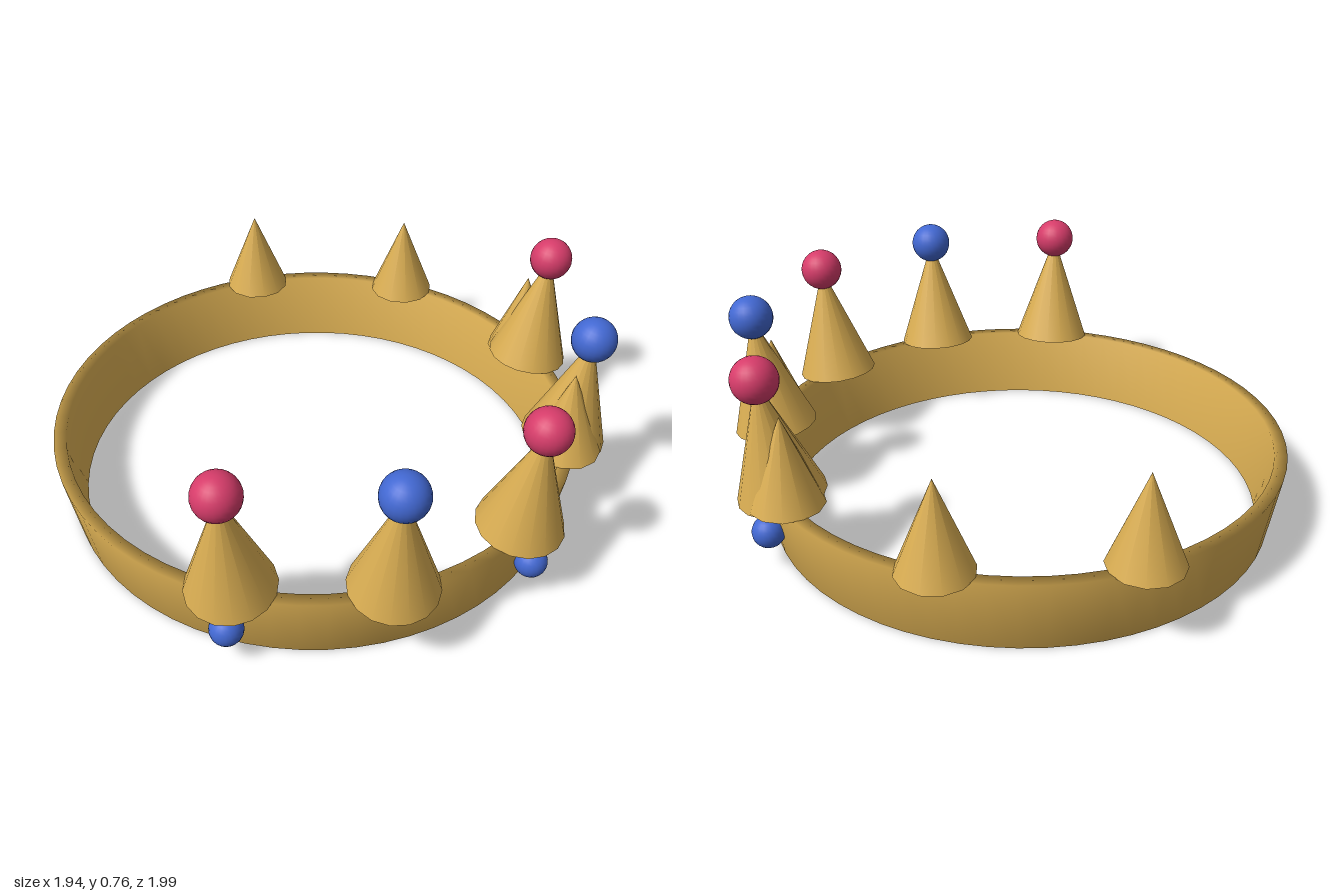
import * as THREE from 'three';

const gold = new THREE.MeshStandardMaterial({ color: 0xd9ad52 });
gold.name = 'gold';
const red = new THREE.MeshStandardMaterial({ color: 0xd63c6a });
red.name = 'ruby red';
const blue = new THREE.MeshStandardMaterial({ color: 0x4268d2 });
blue.name = 'sapphire blue';

const BAND_HEIGHT = 0.26;
const RIM_RADIUS = 0.9;

function add(parent, name, geometry, material, y = 0, z = 0) {
  const mesh = new THREE.Mesh(geometry, material);
  mesh.name = name;
  mesh.position.set(0, y, z);
  parent.add(mesh);
  return mesh;
}

// Group turned around the crown so that its +z points outward
function spoke(parent, name, angle) {
  const group = new THREE.Group();
  group.name = name;
  group.rotation.y = angle;
  parent.add(group);
  return group;
}

export function createModel() {
  const model = new THREE.Group();
  model.name = 'crown';
  const crown = new THREE.Group();
  crown.name = 'crownBody';
  crown.position.set(-0.018, 0, -0.053);
  model.add(crown);

  // Flared band with a closed, softly shaded rim
  const profile = [
    [0.857, 0], [0.903, 0], [0.945, BAND_HEIGHT], [0.9, BAND_HEIGHT], [0.857, 0],
  ].map(([r, y]) => new THREE.Vector2(r, y));
  add(crown, 'band', new THREE.LatheGeometry(profile, 64), gold);

  // Tall front points leaning outward, each tipped with a jewel
  const tallCone = new THREE.ConeGeometry(0.148, 0.42, 16).translate(0, 0.21, 0);
  const jewel = new THREE.SphereGeometry(0.077, 24, 16);
  for (let i = -2; i <= 2; i++) {
    const point = spoke(crown, 'frontPoint', i * 0.56);
    const lean = new THREE.Group();
    lean.name = 'leaningPoint';
    lean.position.set(0, BAND_HEIGHT + 0.003, RIM_RADIUS);
    lean.rotation.x = 0.12;
    point.add(lean);
    add(lean, 'tallCone', tallCone, gold);
    add(lean, 'tipJewel', jewel, i % 2 ? blue : red, 0.42);
  }

  // Shorter upright points along the left side
  const shortCone = new THREE.ConeGeometry(0.126, 0.312, 12).translate(0, 0.156, 0);
  for (let i = 0; i < 4; i++) {
    const point = spoke(crown, 'sidePoint', THREE.MathUtils.degToRad(28.2 + i * 40));
    add(point, 'shortCone', shortCone, gold, BAND_HEIGHT - 0.002, 0.908);
  }

  // Small studs on the band
  const stud = new THREE.SphereGeometry(0.056, 20, 14);
  for (const i of [-1, 0, 1]) {
    add(spoke(crown, 'bandStud', i * 1.12), 'stud', stud, blue, 0.13, 0.96);
  }

  return model;
}
